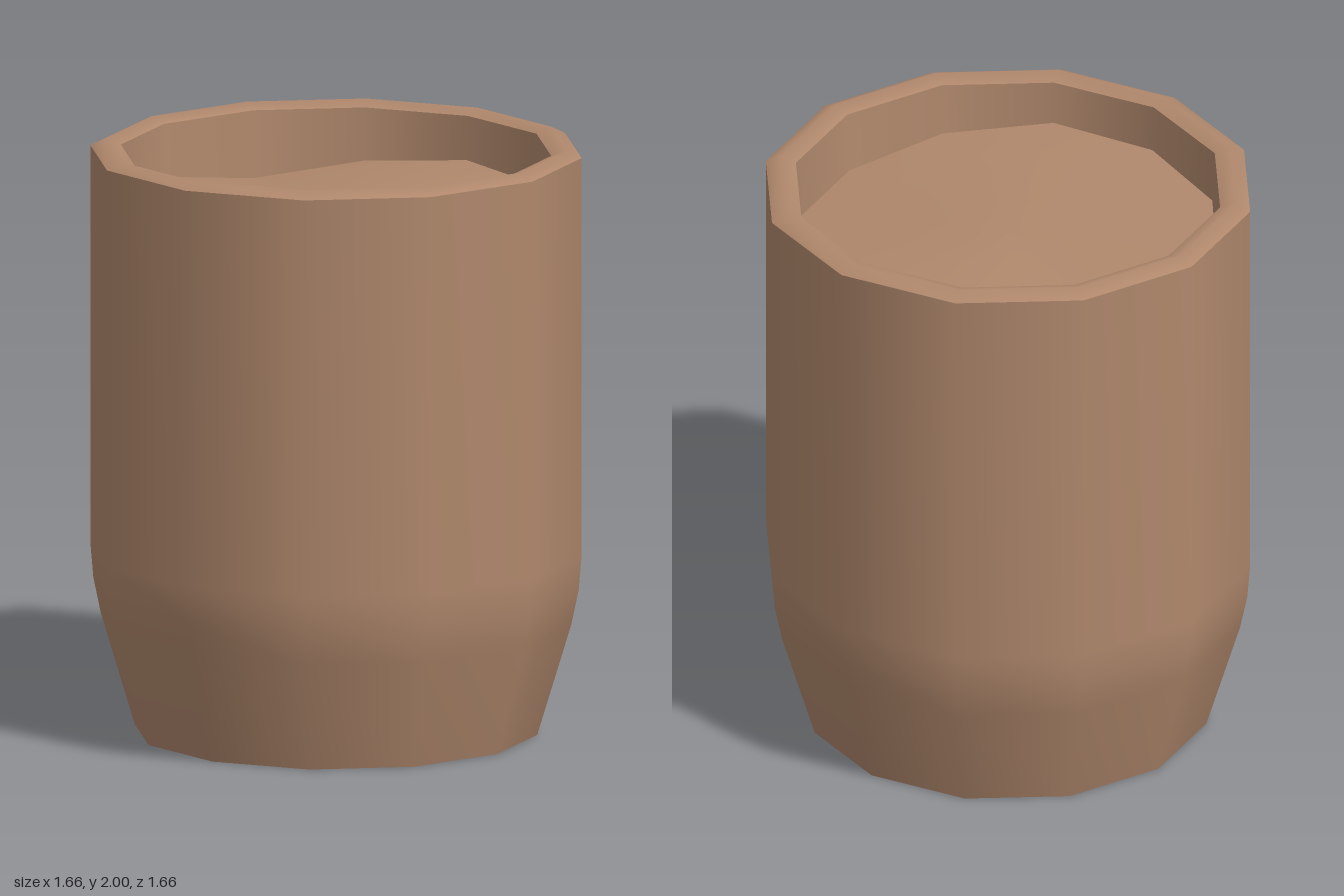
import * as THREE from 'three';
import { mergeVertices } from 'three/addons/utils/BufferGeometryUtils.js';

const SIDES = 12;
const brown = new THREE.MeshStandardMaterial({ color: 0xb0886c });

// Twelve-sided turned surface; separate pieces keep a crease between them
function turned(name, profile) {
  const points = profile.map(([r, y]) => new THREE.Vector2(r, y));
  const mesh = new THREE.Mesh(new THREE.LatheGeometry(points, SIDES), brown);
  mesh.name = name;
  return mesh;
}

// Uneven fill surface: heights around the edge, blended to a level middle
function fillSurface(radius) {
  const edge = [1.81, 1.77, 1.77, 1.80, 1.83, 1.82, 1.80, 1.77, 1.80, 1.75, 1.80, 1.83];
  const middle = 1.8;
  let geo = new THREE.RingGeometry(0, radius, SIDES, 4);
  geo.rotateX(-Math.PI / 2);
  geo.deleteAttribute('uv');
  geo.deleteAttribute('normal');
  const pos = geo.attributes.position;
  for (let i = 0; i < pos.count; i++) {
    const x = pos.getX(i), z = pos.getZ(i);
    const t = Math.hypot(x, z) / radius;
    const k = (Math.round(Math.atan2(z, x) / (Math.PI * 2 / SIDES)) + SIDES) % SIDES;
    const lump = 0.012 * Math.sin(5 * x + 1) * Math.cos(4 * z) * (1 - t);
    pos.setY(i, middle + (edge[k] - middle) * t * t + lump);
  }
  geo = mergeVertices(geo);
  geo.computeVertexNormals();
  const mesh = new THREE.Mesh(geo, brown);
  mesh.name = 'fillSurface';
  return mesh;
}

export function createModel() {
  const group = new THREE.Group();
  group.name = 'pot';
  group.add(
    turned('base', [[0, 0], [0.68, 0]]),
    // Tapered foot rounding into straight walls
    turned('outerWall', [[0.68, 0], [0.795, 0.38], [0.82, 0.5], [0.83, 0.62], [0.83, 1.975]]),
    // Rounded lip
    turned('rim', [[0.83, 1.975], [0.78, 2], [0.727, 1.98]]),
    turned('innerWall', [[0.727, 1.98], [0.714, 1.7]]),
    fillSurface(0.72),
  );
  return group;
}
